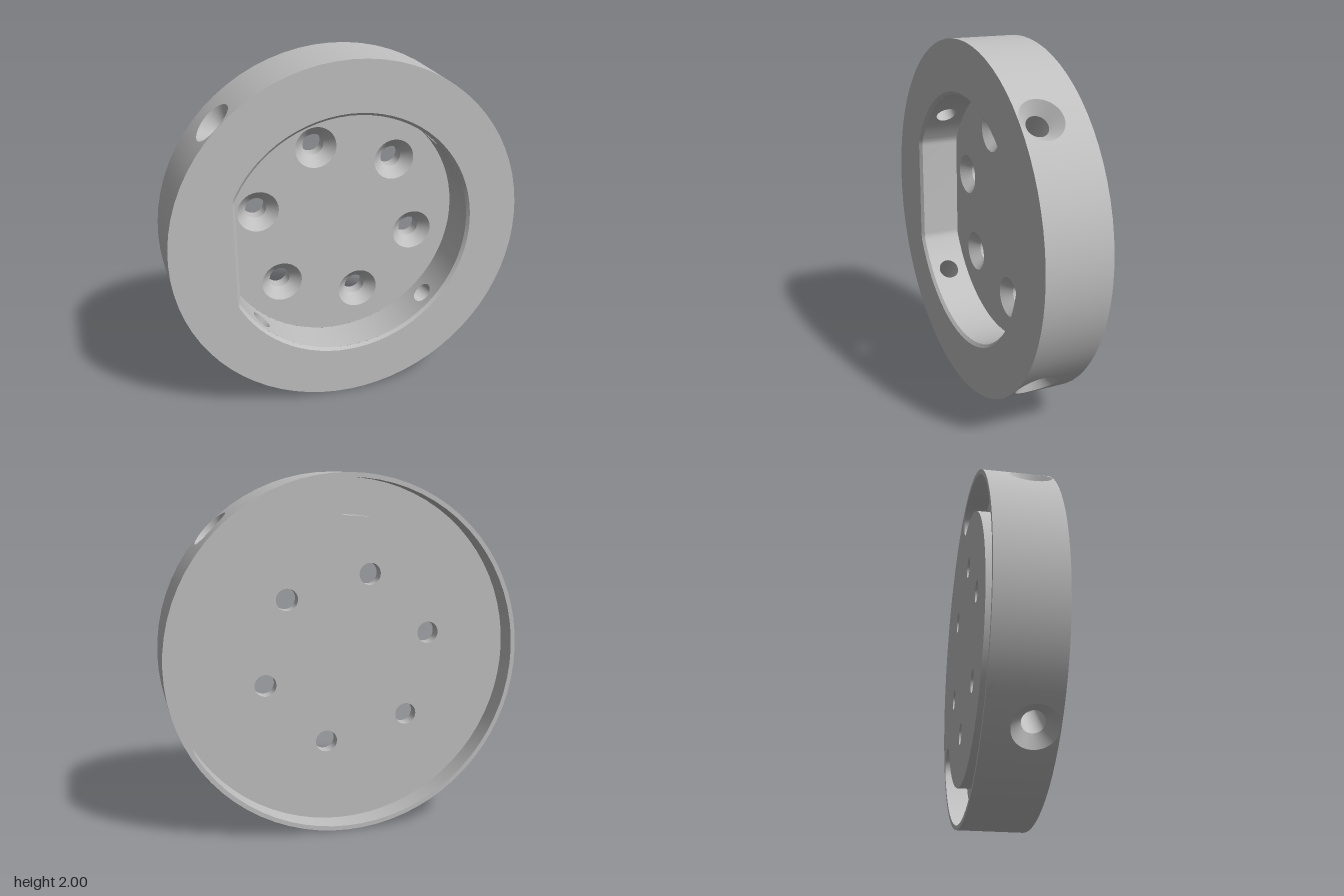
import * as THREE from 'three';
import { toCreasedNormals } from 'three/addons/utils/BufferGeometryUtils.js';

const RAD = Math.PI / 180;
const FRONT = 0.185, BACK = -0.185, FLOOR = -0.055; // floor = pocket floor and groove depth
const BEVEL = 0.016, BORE = 0.06, SINK = 0.118, SIDE_Z = 0.063;

// Points along an arc, end point left out so that arcs can be chained
function arc(cx, cy, r, a0, a1, n) {
  return Array.from({ length: n }, (_, i) => {
    const a = a0 + (a1 - a0) * i / n;
    return new THREE.Vector2(cx + r * Math.cos(a), cy + r * Math.sin(a));
  });
}
const circle = (x, y, r, n = 32) => arc(x, y, r, 0, Math.PI * 2, n);
const atZ = (pts, z) => pts.map(p => new THREE.Vector3(p.x, p.y, z));

function flip(geo) {
  const ix = geo.index;
  for (let i = 0; i < ix.count; i += 3) {
    const a = ix.getX(i);
    ix.setX(i, ix.getX(i + 2));
    ix.setX(i + 2, a);
  }
  return geo;
}

// Flat plate with holes, facing front or back
function plate(outline, holes, z, back = false) {
  const shape = new THREE.Shape(outline);
  shape.holes = holes.map(h => new THREE.Path(h));
  const geo = new THREE.ShapeGeometry(shape).translate(0, 0, z);
  if (back) flip(geo);
  geo.computeVertexNormals();
  return geo;
}

// Skin between successive loops of equal length
function loft(loops, closed = true) {
  const n = loops[0].length, index = [];
  for (let k = 0; k < loops.length - 1; k++) {
    for (let i = 0; i < (closed ? n : n - 1); i++) {
      const a = k * n + i, b = k * n + (i + 1) % n;
      index.push(a, b, a + n, b, b + n, a + n);
    }
  }
  const geo = new THREE.BufferGeometry().setFromPoints(loops.flat());
  geo.setIndex(index);
  return toCreasedNormals(geo, 0.6);
}

// Bend a flat (angle, z) geometry onto a cylinder
const onCylinder = (R, a, z) => new THREE.Vector3(R * Math.cos(a), R * Math.sin(a), z);
function wrap(geo, R, inward) {
  const p = geo.attributes.position, nrm = geo.attributes.normal, s = inward ? -1 : 1;
  for (let i = 0; i < p.count; i++) {
    const a = p.getX(i), v = onCylinder(R, a, p.getY(i));
    p.setXYZ(i, v.x, v.y, v.z);
    nrm.setXYZ(i, s * Math.cos(a), s * Math.sin(a), 0);
  }
  return inward ? flip(geo) : geo;
}

function band(R, a0, a1, z0, z1, inward) {
  const segs = Math.max(1, Math.round((a1 - a0) / (5 * RAD)));
  const geo = new THREE.PlaneGeometry(a1 - a0, z1 - z0, segs, 1);
  return wrap(geo.translate((a0 + a1) / 2, (z0 + z1) / 2, 0), R, inward);
}

// Side hole outline in (angle, z)
const sideHole = (R, a, r) => circle(0, 0, r).map(p => new THREE.Vector2(a + p.x / R, SIDE_Z + p.y));

function holedBand(R, a, half, z0, z1, r, inward) {
  const pts = [];
  for (let i = 0; i < 4; i++) pts.push(new THREE.Vector2(a - half + half * i / 2, z0));
  for (let i = 0; i < 4; i++) pts.push(new THREE.Vector2(a + half - half * i / 2, z1));
  pts.splice(4, 0, new THREE.Vector2(a + half, z0));
  pts.splice(5, 1, new THREE.Vector2(a + half, z1));
  pts.push(new THREE.Vector2(a - half, z1));
  const shape = new THREE.Shape(pts);
  shape.holes.push(new THREE.Path(sideHole(R, a, r)));
  return wrap(new THREE.ShapeGeometry(shape), R, inward);
}

// Round pocket outline with one flat side and rounded corners, offset inward by d
const ARC_STEPS = 64;
const cornerX = -0.547, cornerY = Math.sqrt(0.617 ** 2 - 0.547 ** 2);
const PHI = Math.atan2(cornerY, cornerX);
function pocketOutline(d) {
  const r = 0.1 - d;
  return [
    ...arc(0, 0, 0.717 - d, -PHI, PHI, ARC_STEPS),
    ...arc(cornerX, cornerY, r, PHI, Math.PI, 8),
    new THREE.Vector2(cornerX - r, cornerY),
    ...arc(cornerX, -cornerY, r, Math.PI, 2 * Math.PI - PHI, 8),
  ];
}

export function createModel() {
  const model = new THREE.Group();
  const body = new THREE.Group();
  body.name = 'disc';
  body.position.y = 1;
  model.add(body);
  const metal = new THREE.MeshStandardMaterial({ color: 0xc0c0c0 });
  metal.name = 'grey metal';
  const add = (name, geo) => {
    const mesh = new THREE.Mesh(geo, metal);
    mesh.name = name;
    body.add(mesh);
  };

  const rim = circle(0, 0, 1, 72);
  const mouth = pocketOutline(0), inner = pocketOutline(BEVEL);
  const boltSpots = [45, 105, 165, 225, 285, 345].map(d =>
    new THREE.Vector2(Math.cos(d * RAD), Math.sin(d * RAD)).multiplyScalar(0.477));

  // Curved slot in the back, 240 degrees long with round ends
  const s0 = 90 * RAD, s1 = 330 * RAD, mid = 0.875, w = 0.1;
  const slot = [
    ...arc(0, 0, mid + w, s0, s1, 48),
    ...arc(mid * Math.cos(s1), mid * Math.sin(s1), w, s1, s1 + Math.PI, 12),
    ...arc(0, 0, mid - w, s1, s0, 48),
    ...arc(0, mid, w, s0 + Math.PI, s0 + 2 * Math.PI, 12),
  ];

  // Faces
  add('frontFace', plate(rim, [mouth], FRONT));
  add('pocketFloor', plate(inner, boltSpots.map(p => circle(p.x, p.y, SINK)), FLOOR));
  add('backFace', plate(rim, [slot, ...boltSpots.map(p => circle(p.x, p.y, BORE))], BACK, true));
  add('grooveFloor', plate(slot, [], FLOOR, true));
  add('grooveWall', loft([atZ(slot, FLOOR), atZ(slot, BACK)]));

  // Pocket bevel and flat side of the pocket wall
  const wallTop = FRONT - BEVEL, wallR = 0.717 - BEVEL;
  add('pocketBevel', loft([atZ(mouth, FRONT), atZ(inner, wallTop)]));
  const flatSide = [...inner.slice(ARC_STEPS), inner[0]];
  add('pocketFlatWall', loft([atZ(flatSide, wallTop), atZ(flatSide, FLOOR)], false));

  // Countersunk bolt holes through the floor
  for (const p of boltSpots) {
    const wide = circle(p.x, p.y, SINK), narrow = circle(p.x, p.y, BORE);
    add('boltHole', loft([atZ(wide, FLOOR), atZ(narrow, FLOOR - 0.058), atZ(narrow, BACK)]));
  }

  // Rim and round pocket wall, pierced by four countersunk side holes
  const rimHalf = 10 * RAD, wallHalf = 8 * RAD;
  const angles = [-135, -45, 45, 135].map(d => d * RAD);
  angles.forEach((a, i) => {
    add('rim', holedBand(1, a, rimHalf, BACK, FRONT, SINK, false));
    add('rim', band(1, a + rimHalf, a + 90 * RAD - rimHalf, BACK, FRONT, false));
    add('pocketWall', holedBand(wallR, a, wallHalf, FLOOR, wallTop, BORE, true));
    const end = i < 3 ? angles[i + 1] - wallHalf : PHI;
    add('pocketWall', band(wallR, a + wallHalf, end, FLOOR, wallTop, true));
    const out = new THREE.Vector3(Math.cos(a), Math.sin(a), 0);
    const side = new THREE.Vector3(-out.y, out.x, 0);
    const neck = circle(0, 0, BORE).map(p =>
      out.clone().multiplyScalar(0.935).addScaledVector(side, p.x).setZ(SIDE_Z + p.y));
    const loopOn = (R, r) => sideHole(R, a, r).map(p => onCylinder(R, p.x, p.y));
    add('sideHole', loft([loopOn(1, SINK), neck, loopOn(wallR, BORE)]));
  });
  add('pocketWall', band(wallR, -PHI, angles[0] - wallHalf, FLOOR, wallTop, true));

  return model;
}
